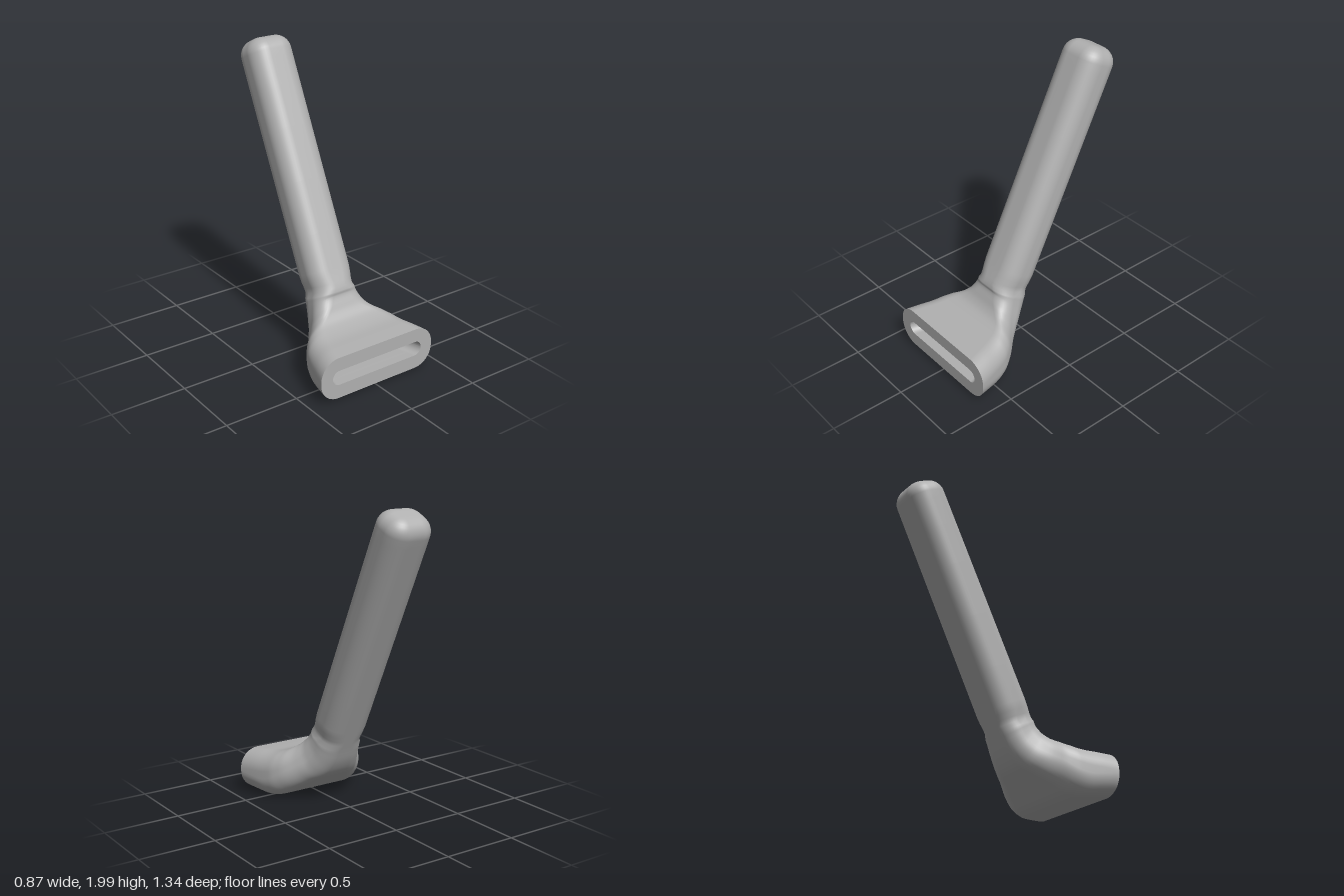
import * as THREE from 'three';

const CORNER = 10;

// Rounded-rectangle ring; top and bottom are [z, y] midpoints of its long edges
function ring(top, bot, w, r) {
  const cz = (top[0] + bot[0]) / 2, cy = (top[1] + bot[1]) / 2;
  const h = Math.hypot(top[0] - bot[0], top[1] - bot[1]) / 2;
  const uz = (top[0] - bot[0]) / (2 * h), uy = (top[1] - bot[1]) / (2 * h);
  const rad = Math.min(r, w, h);
  const pts = [];
  [[1, 1], [-1, 1], [-1, -1], [1, -1]].forEach(([sx, sv], q) => {
    for (let i = 0; i <= CORNER; i++) {
      const a = (q + i / CORNER) * Math.PI / 2;
      const x = sx * (w - rad) + rad * Math.cos(a);
      const v = sv * (h - rad) + rad * Math.sin(a);
      pts.push([x, cy + uy * v, cz + uz * v]);
    }
  });
  return pts;
}

// Skin joining successive rings, optionally closed at the last one
function loft(rings, { flip = false, cap = false } = {}) {
  const n = rings[0].length, pos = rings.flat(2), idx = [];
  const tri = (a, b, c) => flip ? idx.push(a, c, b) : idx.push(a, b, c);
  for (let i = 0; i < rings.length - 1; i++) {
    for (let j = 0; j < n; j++) {
      const k = (j + 1) % n;
      const a = i * n + j, b = i * n + k, c = a + n, d = b + n;
      tri(a, c, b);
      tri(b, c, d);
    }
  }
  if (cap) {
    const last = rings[rings.length - 1], base = (rings.length - 1) * n;
    for (let c = 0; c < 3; c++) pos.push(last.reduce((s, p) => s + p[c], 0) / n);
    for (let j = 0; j < n; j++) tri(base + j, rings.length * n, base + (j + 1) % n);
  }
  const g = new THREE.BufferGeometry();
  g.setAttribute('position', new THREE.Float32BufferAttribute(pos, 3));
  g.setIndex(idx);
  g.computeVertexNormals();
  return g;
}

// Smoothly interpolated rings through stations [topZ, topY, botZ, botY, halfWidth, radius]
function sweep(stations, steps) {
  const curve = (a, b) => new THREE.CatmullRomCurve3(
    stations.map(s => new THREE.Vector3(s[a], s[b], 0)), false, 'centripetal');
  const top = curve(0, 1), bot = curve(2, 3), size = curve(4, 5);
  const count = (stations.length - 1) * steps;
  return Array.from({ length: count + 1 }, (_, i) => {
    const t = top.getPoint(i / count), b = bot.getPoint(i / count), s = size.getPoint(i / count);
    return ring([t.x, t.y], [b.x, b.y], s.x, s.y);
  });
}

export function createModel() {
  const model = new THREE.Group();
  model.name = 'nozzleWithHandle';
  const grey = new THREE.MeshStandardMaterial({ color: 0xb0b0b0 });
  grey.name = 'grey plastic';
  const add = (name, geometry) => {
    const mesh = new THREE.Mesh(geometry, grey);
    mesh.name = name;
    model.add(mesh);
  };

  // Handle axis in [z, y], its cross direction and half sizes
  const dir = [-0.44, 0.898], across = [0.898, 0.44];
  const half = 0.136, width = 0.158, round = 0.11, edge = 0.1;
  const axis = t => [-0.122 + dir[0] * t, 1.03 + dir[1] * t];
  const offset = (p, d) => [p[0] + across[0] * d, p[1] + across[1] * d];
  const station = t => [...offset(axis(t), half), ...offset(axis(t), -half), width, round];

  // Flared head bending up into the straight handle
  const body = sweep([
    [0.67, 0.30, 0.67, 0.02, 0.435, 0.13],
    [0.58, 0.307, 0.58, 0.009, 0.41, 0.13],
    [0.49, 0.313, 0.49, 0.002, 0.383, 0.13],
    [0.42, 0.33, 0.41, 0.024, 0.357, 0.13],
    [0.37, 0.353, 0.33, 0.075, 0.315, 0.125],
    [0.335, 0.388, 0.24, 0.135, 0.25, 0.12],
    [0.31, 0.43, 0.16, 0.193, 0.2, 0.115],
    [0.286, 0.478, 0.095, 0.28, 0.17, 0.11],
    station(-0.65),
    station(-0.5),
    station(0.7),
    station(1.04 - edge),
  ], 4);

  // Rounded handle end
  for (let i = 1; i <= 8; i++) {
    const a = i / 8 * Math.PI / 2;
    const s = edge * (1 - Math.cos(a));
    const c = axis(1.04 - edge + edge * Math.sin(a));
    body.push(ring(offset(c, half - s), offset(c, s - half), width - s, round - s));
  }
  add('headAndHandle', loft(body, { cap: true }));

  // Hollow slot narrowing into the neck
  const slot = sweep([
    [0.67, 0.21, 0.67, 0.112, 0.348, 0.049],
    [0.58, 0.21, 0.58, 0.11, 0.325, 0.049],
    [0.47, 0.215, 0.48, 0.11, 0.29, 0.049],
    [0.38, 0.24, 0.36, 0.14, 0.24, 0.049],
    [0.30, 0.30, 0.25, 0.21, 0.17, 0.049],
    [0.245, 0.39, 0.16, 0.32, 0.09, 0.049],
    [0.20, 0.50, 0.10, 0.45, 0.07, 0.049],
  ], 4);
  add('slotInterior', loft(slot, { flip: true, cap: true }));

  // Flat rim around the slot
  add('mouthRim', loft([slot[0], body[0]]));

  return model;
}
